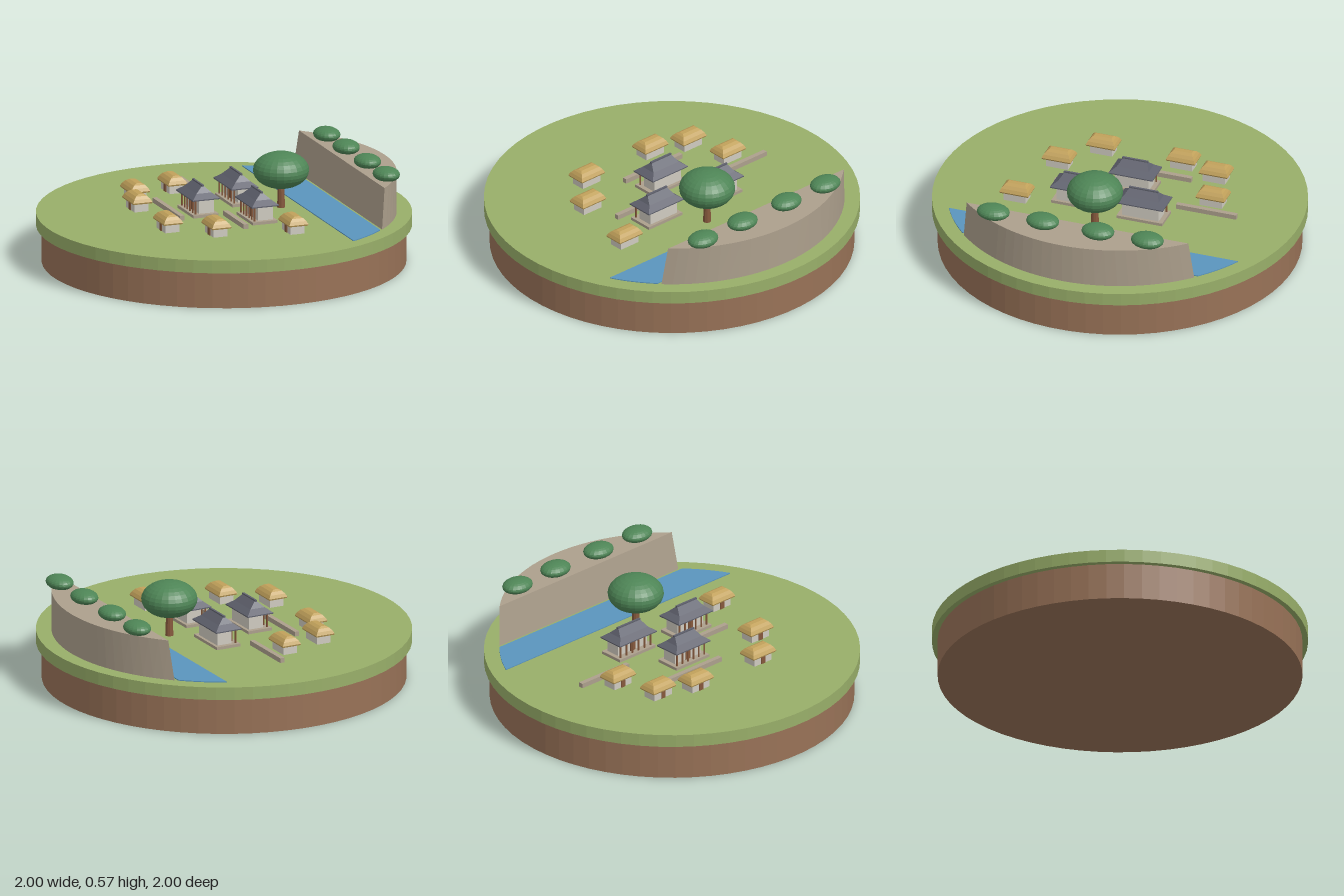
import * as THREE from 'three';

const mat = (name, color) => {
  const m = new THREE.MeshStandardMaterial({ color, flatShading: true });
  m.name = name;
  return m;
};

const GROUND = 0.27;

// Solid skinned through rings of [x, y, z] points, each ring counterclockwise from above
function loft(rings) {
  const pos = [];
  const tri = (a, b, c) => pos.push(...a, ...b, ...c);
  const n = rings[0].length;
  for (let k = 0; k < rings.length - 1; k++) {
    const lo = rings[k], hi = rings[k + 1];
    for (let i = 0; i < n; i++) {
      const j = (i + 1) % n;
      tri(lo[i], lo[j], hi[j]);
      tri(lo[i], hi[j], hi[i]);
    }
  }
  const bottom = rings[0], top = rings[rings.length - 1];
  for (let i = 1; i < n - 1; i++) {
    tri(top[0], top[i], top[i + 1]);
    tri(bottom[0], bottom[i + 1], bottom[i]);
  }
  const g = new THREE.BufferGeometry();
  g.setAttribute('position', new THREE.Float32BufferAttribute(pos, 3));
  g.computeVertexNormals();
  return g;
}

// Hipped roof from [length, width, y] steps
const hipRoof = (steps) => loft(steps.map(([l, w, y]) =>
  [[-l / 2, y, w / 2], [l / 2, y, w / 2], [l / 2, y, -w / 2], [-l / 2, y, -w / 2]]));

// Slice of a disc behind the chord z = front and ahead of z = back
function discSlice(front, back, r, y, segs) {
  const a0 = Math.asin(front / r), a1 = Math.asin(Math.max(back / r, -1));
  const right = [];
  for (let i = 0; i <= segs; i++) {
    const a = a0 + (a1 - a0) * i / segs;
    right.push([r * Math.cos(a), y, r * Math.sin(a)]);
  }
  const left = right.map(([x, h, z]) => [-x, h, z]).reverse();
  if (back <= -r) left.shift();
  return [...right, ...left];
}

export function createModel() {
  const model = new THREE.Group();
  model.name = 'villageIsland';
  const M = {
    grass: mat('grass', 0x98ae69),
    soil: mat('soil', 0x987257),
    water: mat('water', 0x5a95bd),
    stone: mat('stone', 0xac9f8c),
    plaster: mat('plaster', 0xcfcbc0),
    tile: mat('roof tile', 0x5f616d),
    thatch: mat('thatch', 0xc0a05a),
    wood: mat('wood', 0x85583c),
    leaf: mat('foliage', 0x4e8556),
  };
  const add = (parent, name, geo, material, x = 0, y = 0, z = 0) => {
    const mesh = new THREE.Mesh(geo, material);
    mesh.name = name;
    mesh.position.set(x, y, z);
    parent.add(mesh);
    return mesh;
  };
  const box = (parent, name, w, h, d, material, x, y, z) =>
    add(parent, name, new THREE.BoxGeometry(w, h, d), material, x, y + h / 2, z);
  // Everything on the ground is turned to follow the river
  const TURN = -Math.PI / 9;
  const site = (name, x, z, y = GROUND) => {
    const g = new THREE.Group();
    g.name = name;
    g.position.set(x, y, z);
    g.rotation.y = TURN;
    model.add(g);
    return g;
  };

  // Ground disc
  add(model, 'soilBase', new THREE.CylinderGeometry(0.97, 0.97, 0.2, 64), M.soil, 0, 0.1, 0);
  add(model, 'grassDisc', new THREE.CylinderGeometry(1, 1, 0.07, 64), M.grass, 0, 0.235, 0);

  // River and cliff
  const land = site('riverAndCliff', 0, 0, 0);
  add(land, 'river', loft([GROUND, GROUND + 0.005].map(y => discSlice(-0.42, -0.632, 0.917, y, 6))), M.water);
  add(land, 'cliff', loft([
    discSlice(-0.648, -1, 0.918, GROUND, 12),
    discSlice(-0.672, -1, 0.918, 0.49, 12),
  ]), M.stone);

  // Bushes along the cliff top
  for (const [x, z] of [[-0.14, -0.85], [0.122, -0.757], [0.415, -0.65], [0.677, -0.553]]) {
    const bush = site('cliffBush', x, z, 0.515);
    add(bush, 'bushCrown', new THREE.SphereGeometry(1, 20, 14), M.leaf).scale.set(0.09, 0.038, 0.07);
  }

  // Great tree
  const tree = site('greatTree', 0.135, -0.285);
  add(tree, 'treeTrunk', new THREE.CylinderGeometry(0.016, 0.022, 0.16, 10), M.wood, 0, 0.08, 0);
  add(tree, 'treeCrown', new THREE.SphereGeometry(1, 24, 16), M.leaf, 0, 0.205, 0).scale.set(0.15, 0.098, 0.15);

  // Tiled halls with a columned front
  const halls = [[-0.125, -0.195, 0.268], [0.23, -0.032, 0.248], [-0.082, 0.112, 0.248]];
  for (const [x, z, len] of halls) {
    const hall = site('hall', x, z);
    box(hall, 'hallPlatform', len - 0.01, 0.016, 0.142, M.stone, 0, 0, 0);
    box(hall, 'hallWalls', len - 0.06, 0.085, 0.085, M.plaster, 0, 0.016, -0.012);
    box(hall, 'hallDoor', 0.034, 0.06, 0.006, M.wood, 0, 0.016, 0.032);
    for (let i = 0; i < 6; i++) {
      const cx = (i / 5 - 0.5) * (len - 0.05);
      add(hall, 'hallColumn', new THREE.CylinderGeometry(0.005, 0.005, 0.082, 8), M.wood, cx, 0.057, 0.053);
    }
    add(hall, 'hallRoof', hipRoof([
      [len, 0.154, 0.094], [len, 0.154, 0.1],
      [len - 0.068, 0.086, 0.126], [len - 0.11, 0.012, 0.16],
    ]), M.tile);
    box(hall, 'hallRidge', len - 0.104, 0.01, 0.012, M.tile, 0, 0.157, 0);
  }

  // Thatched cottages
  const cottages = [[-0.495, -0.07], [-0.513, 0.178], [-0.34, 0.315],
    [0.084, 0.47], [0.32, 0.335], [0.547, -0.01]];
  for (const [x, z] of cottages) {
    const cottage = site('cottage', x, z);
    box(cottage, 'cottageWalls', 0.125, 0.055, 0.08, M.plaster, 0, 0, 0);
    box(cottage, 'cottageDoor', 0.028, 0.042, 0.006, M.wood, 0, 0, 0.041);
    add(cottage, 'cottageRoof', hipRoof([
      [0.158, 0.104, 0.046], [0.164, 0.11, 0.054], [0.148, 0.09, 0.071],
      [0.125, 0.062, 0.086], [0.1, 0.026, 0.095],
    ]), M.thatch);
  }

  // Low garden walls
  for (const [x, z, len] of [[-0.46, -0.17, 0.34], [-0.195, 0.222, 0.4], [0.205, 0.097, 0.3]]) {
    box(site('gardenWall', x, z), 'wallStones', len, 0.026, 0.026, M.stone, 0, 0, 0);
  }
  return model;
}
